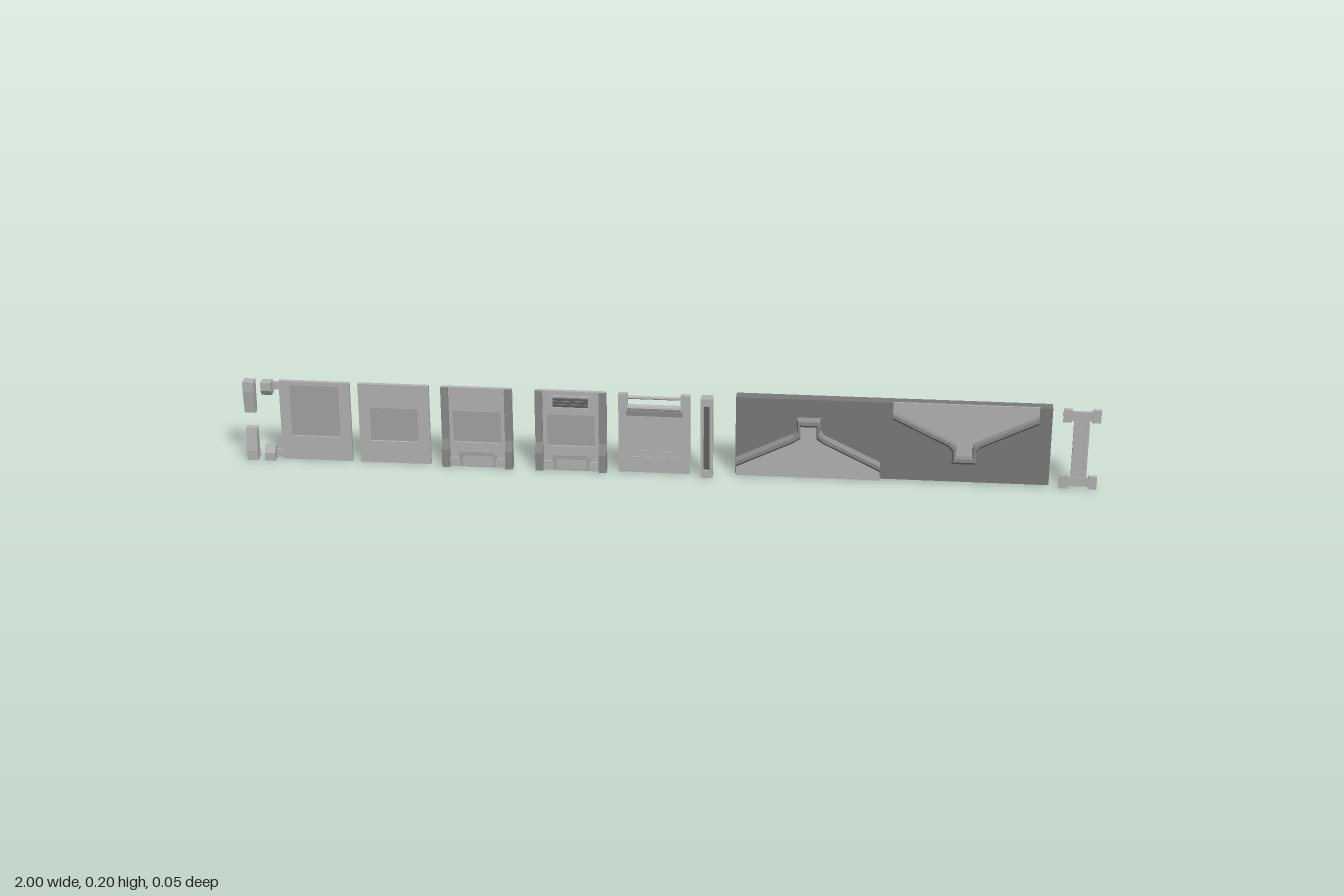
import * as THREE from 'three';

// Grey tones: most parts are light, a few are darker
const material = color => new THREE.MeshStandardMaterial({ color, flatShading: true });
const light = material(0xb4b4b4), mid = material(0xa4a4a4), trim = material(0x8c8c8c);
const dark = material(0x7a7a7a), deep = material(0x606060);
const tones = {
  slab: dark, core: deep, ventSlat: deep, rim: trim, sideRail: trim, foot: trim,
  panelField: mid, fieldStep: mid, sill: mid, notchLip: trim,
};
const H = 0.2;

function add(group, name, geo) {
  const mesh = new THREE.Mesh(geo, tones[name] ?? light);
  mesh.name = name;
  group.add(mesh);
}

// Box given by its limits on each axis
function box(group, name, x0, x1, y0, y1, z0, z1) {
  const geo = new THREE.BoxGeometry(x1 - x0, y1 - y0, z1 - z0);
  geo.translate((x0 + x1) / 2, (y0 + y1) / 2, (z0 + z1) / 2);
  add(group, name, geo);
}

const vectors = pts => pts.map(p => new THREE.Vector2(...p));
const rect = (x0, x1, y0, y1) => [[x0, y0], [x1, y0], [x1, y1], [x0, y1]];

// Outline in x-y, optionally with a hole, extruded from z0 to z1
function plate(group, name, pts, z0, z1, hole) {
  const shape = new THREE.Shape(vectors(pts));
  if (hole) shape.holes.push(new THREE.Path(vectors(hole)));
  const geo = new THREE.ExtrudeGeometry(shape, { depth: z1 - z0, bevelEnabled: false });
  geo.translate(0, 0, z0);
  add(group, name, geo);
}

// Profile in z-y, extruded along x
function sideProfile(group, name, pts, x0, x1) {
  const shape = new THREE.Shape(vectors(pts.map(([z, y]) => [-z, y])));
  const geo = new THREE.ExtrudeGeometry(shape, { depth: x1 - x0, bevelEnabled: false });
  geo.rotateY(Math.PI / 2);
  geo.translate(x0, 0, 0);
  add(group, name, geo);
}

function section(root, name, x = 0) {
  const g = new THREE.Group();
  g.name = name;
  g.position.x = x;
  root.add(g);
  return g;
}

const W = 0.084; // half width of a panel

// Panel with a recessed rectangular field
function recessedPanel(g, hole) {
  plate(g, 'panelFrame', rect(-W, W, 0, H), 0, 0.01, hole);
  box(g, 'panelField', hole[0][0], hole[1][0], hole[0][1], hole[2][1], 0, 0.005);
}

// Side rails, feet and a low sill along the bottom
function brackets(g, railTop) {
  for (const s of [-1, 1]) {
    const x0 = s < 0 ? -W : W - 0.018;
    sideProfile(g, 'foot', [[0.008, 0], [0.023, 0], [0.023, 0.045], [0.014, 0.07], [0.008, 0.07]], x0, x0 + 0.018);
    box(g, 'sideRail', x0, x0 + 0.018, 0.07, railTop, 0.008, 0.014);
    box(g, 'sillStep', s * 0.054 - 0.012, s * 0.054 + 0.012, 0, 0.022, 0.008, 0.015);
  }
  plate(g, 'sill', [[-0.045, 0], [0.045, 0], [0.045, 0.03], [0.038, 0.038], [-0.038, 0.038], [-0.045, 0.03]],
    0.008, 0.014, rect(-0.036, 0.036, 0.003, 0.028));
}

// Chevron outline with a tab; d moves its upper edge inward
function chevron(d) {
  const t = 0.028 - d * 0.4;
  return [[-0.168, 0], [0.168, 0], [0.168, 0.045 - d], [0.036, 0.11 - d], [t, 0.122 - d], [t, 0.152 - d],
    [-t, 0.152 - d], [-t, 0.122 - d], [-0.036, 0.11 - d], [-0.168, 0.045 - d]];
}

// Sloped rim lofted along the upper edge of the chevron
function chevronRim(g) {
  const rows = [[0, 0], [0.008, 0.009], [0.017, 0.009], [0.023, 0.004]]
    .map(([d, z]) => chevron(d).slice(2).map(([x, y]) => [x, y, z]));
  const n = rows[0].length, index = [];
  for (let r = 0; r < 3; r++) {
    for (let i = 0; i < n - 1; i++) {
      const a = r * n + i, b = a + n;
      index.push(a, a + 1, b, a + 1, b + 1, b);
    }
    // end caps
    if (r > 0) index.push(0, r * n, (r + 1) * n, n - 1, (r + 2) * n - 1, (r + 1) * n - 1);
  }
  const geo = new THREE.BufferGeometry();
  geo.setAttribute('position', new THREE.Float32BufferAttribute(rows.flat(2), 3));
  geo.setIndex(index);
  geo.computeVertexNormals();
  add(g, 'rim', geo);
}

export function createModel() {
  const root = new THREE.Group();
  root.name = 'wallPanelKit';

  // Loose end clips, mirrored top and bottom
  const clips = section(root, 'endClips');
  for (const top of [false, true]) {
    const place = pts => (top ? pts.map(([z, y]) => [z, H - y]).reverse() : pts);
    sideProfile(clips, 'wedgeClip', place([[0, 0], [0.026, 0], [0.026, 0.025], [0.019, 0.08], [0.003, 0.08]]), -1, -0.974);
    sideProfile(clips, 'hookClip', place([[0, 0], [0.026, 0], [0.026, 0.02], [0.018, 0.033], [0, 0.033]]), -0.957, -0.932);
    sideProfile(clips, 'hookArm', place([[0.002, 0.004], [0.009, 0.004], [0.009, 0.022], [0.002, 0.022]]), -0.934, -0.915);
  }

  // Plain panel with a tall recess
  const a = section(root, 'tallRecessPanel', -0.833);
  recessedPanel(a, rect(-0.058, 0.058, 0.06, 0.19));
  box(a, 'fieldStep', -0.058, 0.058, 0.135, 0.19, 0, 0.0065);

  // Panel with a square recess
  recessedPanel(section(root, 'squareRecessPanel', -0.645), rect(-0.056, 0.056, 0.055, 0.14));

  // Panel with bracket feet
  const c = section(root, 'footedPanel', -0.448);
  recessedPanel(c, rect(-0.056, 0.056, 0.06, 0.14));
  brackets(c, H);

  // Footed panel with a slatted vent
  const d = section(root, 'ventedPanel', -0.226);
  recessedPanel(d, rect(-0.056, 0.056, 0.06, 0.14));
  brackets(d, H);
  plate(d, 'ventFrame', [[-0.05, 0.16], [-0.04, 0.15], [0.04, 0.15], [0.05, 0.16], [0.05, 0.19], [-0.05, 0.19]],
    0.009, 0.014, rect(-0.042, 0.042, 0.16, 0.185));
  for (let i = 0; i < 3; i++) {
    const y = 0.161 + i * 0.008;
    box(d, 'ventSlat', -0.042, 0.042, y, y + 0.006, 0.009, 0.013);
  }

  // Panel with an open notch, cross bars and low ribs
  const e = section(root, 'notchedPanel', -0.03);
  plate(e, 'panel', [[-W, 0], [W, 0], [W, H], [0.062, H], [0.062, 0.152], [-0.062, 0.152], [-0.062, H], [-W, H]], 0, 0.009);
  for (const [y, r] of [[0.19, 0.004], [0.165, 0.007]]) {
    const bar = new THREE.CylinderGeometry(r, r, 0.126, 10);
    bar.rotateZ(Math.PI / 2);
    bar.translate(0, y, 0.006);
    add(e, 'crossBar', bar);
  }
  box(e, 'notchLip', -0.066, 0.066, 0.146, 0.158, 0.003, 0.013);
  for (const y of [0.035, 0.05]) box(e, 'lowRib', -0.054, 0.054, y, y + 0.006, 0.008, 0.011);
  for (const s of [-1, 1]) {
    box(e, 'cornerTab', s * 0.073 - 0.011, s * 0.073 + 0.011, 0.155, H, 0.008, 0.012);
  }

  // Narrow post, recessed on the front and sides
  const post = section(root, 'narrowPost', 0.094);
  box(post, 'core', -0.009, 0.009, 0.015, 0.185, 0.001, 0.02);
  box(post, 'backFace', -0.014, 0.014, 0.018, 0.182, 0, 0.008);
  for (const y of [0, 0.182]) box(post, 'endCap', -0.014, 0.014, y, y + 0.018, 0, 0.027);
  for (const s of [-1, 1]) {
    box(post, 'frontEdge', s * 0.0105 - 0.0035, s * 0.0105 + 0.0035, 0.018, 0.182, 0.019, 0.027);
  }

  // Long board with two opposed chevron reliefs
  const board = section(root, 'longBoard');
  box(board, 'slab', 0.16, 0.89, 0.003, 0.197, -0.028, 0);
  for (const flip of [false, true]) {
    const relief = section(board, flip ? 'upperRelief' : 'lowerRelief', flip ? 0.692 : 0.33);
    plate(relief, 'field', chevron(0.012), 0, 0.004);
    chevronRim(relief);
    if (flip) {
      relief.rotation.z = Math.PI;
      relief.position.y = H;
    }
  }

  // I-shaped end brace
  const brace = section(root, 'endBrace', 0.957);
  box(brace, 'web', -0.016, 0.016, 0.02, 0.18, 0.001, 0.005);
  for (const s of [-1, 1]) {
    box(brace, 'webRib', s * 0.014 - 0.004, s * 0.014 + 0.004, 0.03, 0.17, 0, 0.008);
    for (const y of [0, 0.168]) {
      box(brace, 'flangeTab', s * 0.033 - 0.01, s * 0.033 + 0.01, y, y + 0.032, 0, 0.009);
    }
  }
  for (const y of [0.006, 0.172]) box(brace, 'flange', -0.026, 0.026, y, y + 0.022, 0, 0.007);

  return root;
}
